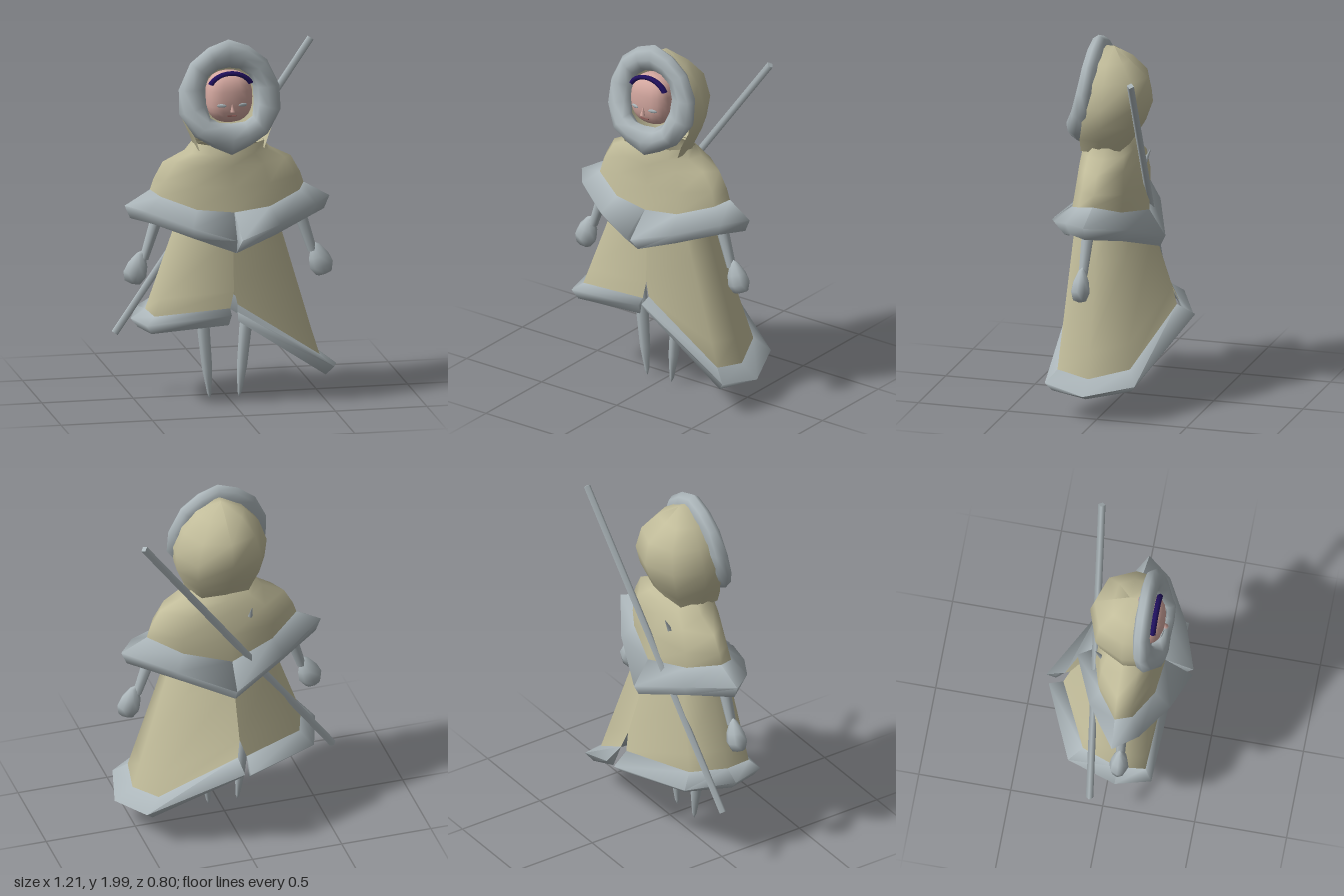
import * as THREE from 'three';
import { toCreasedNormals } from 'three/addons/utils/BufferGeometryUtils.js';

const make = (name, color, side = THREE.FrontSide) =>
  Object.assign(new THREE.MeshStandardMaterial({ color, side }), { name });

// Surface through rows of equally many [x, y, z] points
function loft(rows, crease) {
  const n = rows[0].length, index = [];
  for (let i = 0; i < rows.length - 1; i++)
    for (let j = 0; j < n - 1; j++) {
      const a = i * n + j, c = a + n;
      index.push(a, c, a + 1, a + 1, c, c + 1);
    }
  const g = new THREE.BufferGeometry();
  g.setAttribute('position', new THREE.Float32BufferAttribute(rows.flat(2), 3));
  g.setIndex(index);
  return toCreasedNormals(g, crease);
}

const mirror = row => row.map(([x, y, z]) => [-x, y, z]).reverse();
const bothSides = row => [...row, ...mirror(row).slice(1)];
const mix = (p, q, t) => p.map((v, k) => v + (q[k] - v) * t);

// Triangular fur trim running along three edge lines, closed at both ends
function trim(inner, outer, under) {
  const edges = [inner, outer, under, inner];
  const cap = k => [0, 1, 2].map(c => (inner.at(k)[c] + outer.at(k)[c] + under.at(k)[c]) / 3);
  return loft(edges.map(e => [cap(0), ...e, cap(-1)]), 1.9);
}

export function createModel() {
  const group = new THREE.Group();
  const cloth = make('tan cloth', 0xc1bc9a, THREE.DoubleSide);
  const fur = make('grey fur', 0xacb6ba, THREE.DoubleSide);
  const skin = make('skin', 0xd4a8a0);
  const hair = make('purple hair', 0x20105e);
  const lip = make('lip', 0x94605c);
  const add = (name, geometry, material, parent = group) => {
    const m = new THREE.Mesh(geometry, material);
    m.name = name;
    parent.add(m);
    return m;
  };

  // Cape: each row runs from front centre to back centre on the left side
  const capeHem = [[0, 1.07, 0.25], [0.2, 1.09, 0.23], [0.38, 1.15, 0.14], [0.42, 1.17, 0.05], [0.25, 1.1, -0.06], [0, 1.05, -0.14]];
  const capeRows = [
    [[0, 1.43, 0.2], [0.12, 1.43, 0.19], [0.19, 1.43, 0.12], [0.19, 1.43, 0.05], [0.11, 1.42, -0.01], [0, 1.41, -0.03]],
    [[0, 1.38, 0.22], [0.12, 1.38, 0.2], [0.21, 1.38, 0.14], [0.23, 1.38, 0.05], [0.14, 1.38, -0.04], [0, 1.38, -0.05]],
    [[0, 1.32, 0.22], [0.17, 1.32, 0.2], [0.3, 1.33, 0.13], [0.35, 1.32, 0.05], [0.21, 1.32, -0.06], [0, 1.32, -0.08]],
    [[0, 1.2, 0.23], [0.2, 1.21, 0.21], [0.36, 1.23, 0.13], [0.4, 1.23, 0.05], [0.25, 1.2, -0.07], [0, 1.19, -0.11]],
    capeHem,
  ];
  add('cape', loft(capeRows.map(bothSides), 1.6), cloth);
  const capeOuter = [[0.015, 0.95, 0.4], [0.24, 1.01, 0.32], [0.46, 1.08, 0.19], [0.56, 1.09, 0.06], [0.3, 1.02, -0.11], [0, 0.91, -0.23]];
  const capeUnder = [[0, 0.86, 0.31], [0.22, 0.94, 0.27], [0.43, 1.01, 0.17], [0.53, 1.02, 0.06], [0.28, 0.95, -0.08], [0, 0.85, -0.2]];
  add('leftCapeFur', trim(capeHem, capeOuter, capeUnder), fur);
  add('rightCapeFur', trim(mirror(capeHem), mirror(capeOuter), mirror(capeUnder)), fur);

  // Skirt: two lopsided halves with slits at front and back
  const waist = [[0, 1.14, 0.22], [0.19, 1.14, 0.2], [0.23, 1.14, 0.07], [0.16, 1.14, -0.04], [0, 1.14, -0.09]];
  const halves = {
    left: {
      waist,
      hem: [[0.02, 0.56, 0.24], [0.47, 0.26, 0.23], [0.5, 0.23, 0.05], [0.42, 0.28, -0.16], [0.02, 0.54, -0.3]],
      outer: [[0.01, 0.53, 0.29], [0.54, 0.2, 0.28], [0.6, 0.16, 0.05], [0.5, 0.21, -0.21], [0.01, 0.49, -0.4]],
      under: [[0.02, 0.47, 0.25], [0.5, 0.15, 0.25], [0.54, 0.13, 0.05], [0.46, 0.17, -0.18], [0.02, 0.44, -0.35]],
    },
    right: {
      waist: mirror(waist),
      hem: [[-0.03, 0.54, -0.3], [-0.38, 0.53, -0.13], [-0.45, 0.52, 0.07], [-0.43, 0.51, 0.22], [-0.02, 0.54, 0.24]],
      outer: [[-0.03, 0.47, -0.38], [-0.44, 0.47, -0.2], [-0.53, 0.47, 0.07], [-0.48, 0.47, 0.26], [-0.02, 0.51, 0.28]],
      under: [[-0.03, 0.43, -0.34], [-0.4, 0.43, -0.17], [-0.49, 0.42, 0.07], [-0.45, 0.42, 0.24], [-0.03, 0.45, 0.25]],
    },
  };
  for (const [side, h] of Object.entries(halves)) {
    const rows = [0, 0.35, 0.85, 1].map(t => h.waist.map((p, j) => {
      const q = mix(p, h.hem[j], t);
      if ((j === 0 || j === 4) && t < 1) q[0] = 0;
      return q;
    }));
    add(side + 'Skirt', loft(rows, 1.6), cloth);
    add(side + 'SkirtFur', trim(h.hem, h.outer, h.under), fur);
  }

  // Hood: horseshoe rows [y, half width, z at front, z at back] from the peak down to the neck
  const hoodRows = [
    [1.95, 0, 0.1, 0.09], [1.88, 0.13, 0.14, -0.03], [1.79, 0.21, 0.15, -0.135], [1.66, 0.255, 0.16, -0.16],
    [1.55, 0.245, 0.17, -0.12], [1.47, 0.21, 0.19, -0.07], [1.4, 0.185, 0.19, -0.025],
  ];
  add('hood', loft(hoodRows.map(([y, w, zf, zb]) => bothSides([
    [w * 0.95, y, zf], [w, y, zf * 0.45 + zb * 0.1], [w * 0.7, y, zb * 0.62], [0, y, zb],
  ])), 1.6), cloth);

  // Fur ring round the hood opening: [outer x, y, inner x, y, z, half depth] from bottom to top
  const ring = [
    [0, 1.385, 0, 1.56, 0.24, 0.04], [0.1, 1.43, 0.07, 1.565, 0.235, 0.05], [0.2, 1.49, 0.115, 1.59, 0.22, 0.06],
    [0.278, 1.61, 0.13, 1.66, 0.18, 0.055], [0.275, 1.74, 0.13, 1.74, 0.16, 0.05], [0.21, 1.88, 0.11, 1.8, 0.15, 0.045],
    [0.11, 1.96, 0.06, 1.835, 0.147, 0.045], [0, 2, 0, 1.845, 0.147, 0.045],
  ];
  const ringRows = Array.from({ length: 9 }, (_, i) => {
    const p = (i / 8) * Math.PI * 2, t = (1 - Math.cos(p)) / 2;
    return bothSides(ring.map(([ox, oy, ix, iy, z, depth]) =>
      [ox + (ix - ox) * t, oy + (iy - oy) * t, z - depth * Math.sin(p)]));
  });
  add('hoodFur', loft(ringRows, 1.6), fur).position.x = -0.01;

  // Head: a sphere squared off towards brow, cheeks and jaw
  const head = new THREE.Group();
  head.name = 'head';
  head.position.set(-0.01, 1.69, 0.15);
  group.add(head);
  const face = new THREE.SphereGeometry(1, 20, 14);
  const pos = face.attributes.position;
  const square = v => Math.sign(v) * Math.abs(v) ** 0.8;
  for (let i = 0; i < pos.count; i++)
    pos.setXYZ(i, 0.126 * square(pos.getX(i)), 0.14 * square(pos.getY(i)), 0.1 * square(pos.getZ(i)));
  face.computeVertexNormals();
  add('face', face, skin, head);
  const nose = add('nose', new THREE.ConeGeometry(0.014, 0.055, 6), skin, head);
  nose.position.set(0, -0.04, 0.1);
  nose.rotation.x = -0.2;
  const fringe = add('hairBand', new THREE.TorusGeometry(0.118, 0.017, 6, 16, 2.3).rotateZ((Math.PI - 2.3) / 2), hair, head);
  fringe.scale.y = 0.8;
  fringe.position.set(0, 0.04, 0.052);
  for (const s of [-1, 1]) {
    const eye = add(s > 0 ? 'leftEye' : 'rightEye', new THREE.SphereGeometry(1, 10, 6).scale(0.026, 0.01, 0.005), fur, head);
    eye.position.set(s * 0.058, -0.03, 0.094);
    eye.rotation.y = s * 0.25;
  }
  add('mouth', new THREE.BoxGeometry(0.05, 0.007, 0.009), lip, head).position.set(0, -0.09, 0.086);

  // Tapered limb between two points
  const limb = (name, from, to, r0, r1, sides, material) => {
    const a = new THREE.Vector3(...from), b = new THREE.Vector3(...to), d = b.clone().sub(a);
    const m = add(name, new THREE.CylinderGeometry(r1, r0, d.length(), sides), material);
    m.position.copy(a).addScaledVector(d, 0.5);
    m.quaternion.setFromUnitVectors(new THREE.Vector3(0, 1, 0), d.normalize());
  };

  // Arms and mittens
  const mittenProfile = [[0, -0.09], [0.045, -0.08], [0.065, -0.035], [0.055, 0.02], [0.025, 0.08], [0, 0.1]];
  for (const s of [-1, 1]) {
    const side = s > 0 ? 'left' : 'right';
    limb(side + 'Arm', [s * 0.35, 1.14, 0.08], [s * 0.46, 0.8, 0.09], 0.04, 0.025, 8, fur);
    const mitten = add(side + 'Mitten', new THREE.LatheGeometry(mittenProfile.map(p => new THREE.Vector2(...p)), 8), fur);
    mitten.position.set(s * 0.5, 0.75, 0.09);
    mitten.rotation.z = s * 0.3;
    mitten.scale.z = 0.8;
  }

  // Legs tapering to pointed feet
  const legProfile = [[0, 0], [0.012, 0.03], [0.028, 0.17], [0.034, 0.38], [0.03, 0.55], [0, 0.6]];
  for (const [name, x, tilt] of [['rightLeg', -0.1, 0.09], ['leftLeg', 0.06, -0.09]]) {
    const leg = add(name, new THREE.LatheGeometry(legProfile.map(p => new THREE.Vector2(...p)), 8), fur);
    leg.position.set(x, 0.01, 0.09);
    leg.rotation.z = tilt;
  }

  // Square staff slung across the back, and a small spike beside it
  limb('staff', [-0.59, 0.36, -0.055], [0.51, 1.9, -0.19], 0.02, 0.02, 4, fur);
  limb('backSpike', [-0.12, 1.28, -0.08], [-0.12, 1.35, -0.11], 0.014, 0.002, 4, fur);

  return group;
}
